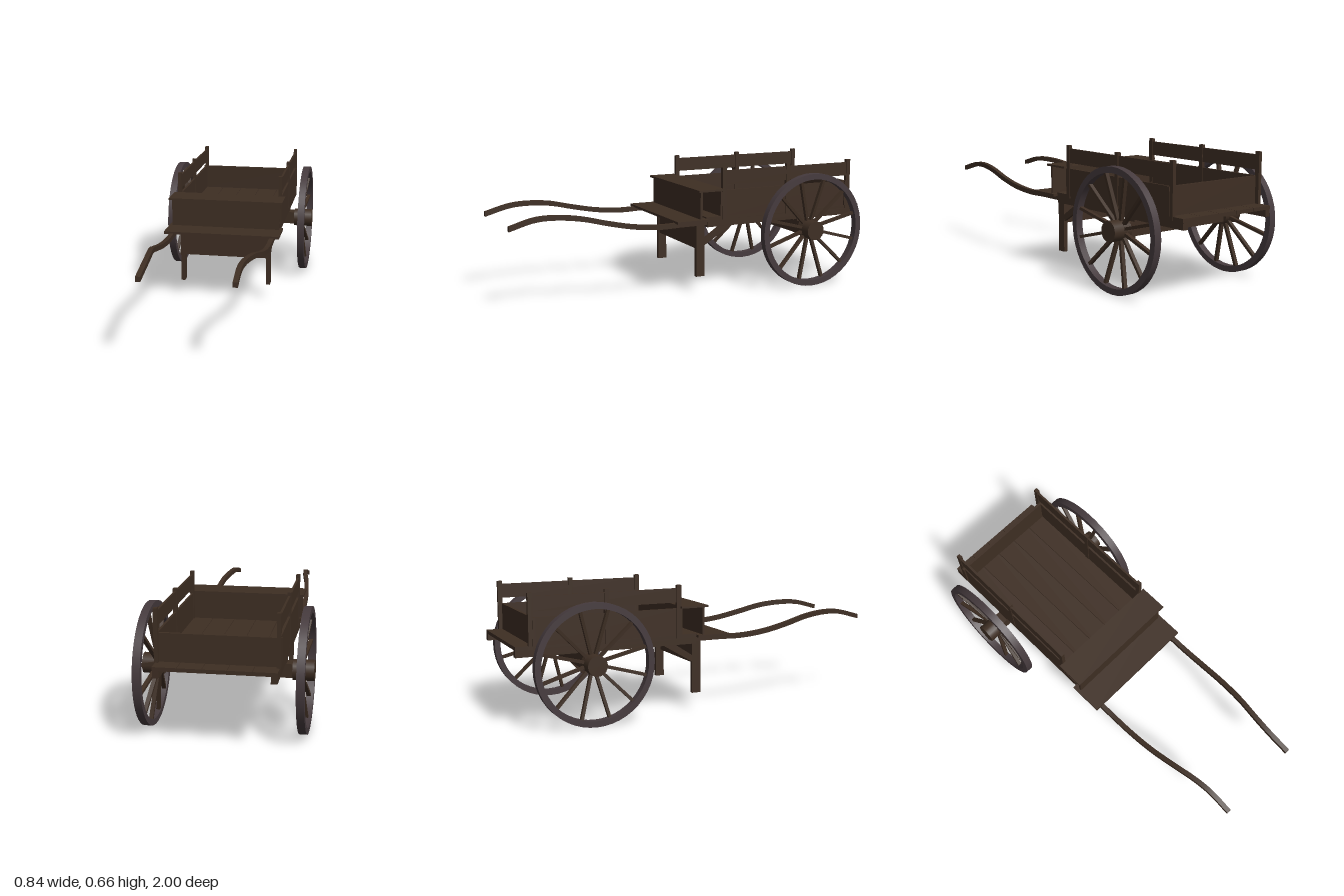
import * as THREE from 'three';

export function createModel() {
  const model = new THREE.Group();
  model.name = 'handcart';
  const wood = new THREE.MeshStandardMaterial({ color: 0x3e2e23 });
  wood.name = 'dark wood';
  const iron = new THREE.MeshStandardMaterial({ color: 0x453a3d });
  iron.name = 'rim iron';

  const add = (name, geo, mat = wood, parent = model) => {
    const mesh = new THREE.Mesh(geo, mat);
    mesh.name = name;
    parent.add(mesh);
    return mesh;
  };
  // Box given by its minimum and maximum on each axis
  const box = (name, x0, x1, y0, y1, z0, z1) => {
    const mesh = add(name, new THREE.BoxGeometry(x1 - x0, y1 - y0, z1 - z0));
    mesh.position.set((x0 + x1) / 2, (y0 + y1) / 2, (z0 + z1) / 2);
    return mesh;
  };
  // The same box on both sides
  const pair = (name, x0, x1, ...rest) => {
    box(name + 'Left', x0, x1, ...rest);
    box(name + 'Right', -x1, -x0, ...rest);
  };

  // Floor of lengthwise planks
  const planks = 5, floorHalf = 0.287, plankWidth = 2 * floorHalf / planks;
  for (let i = 0; i < planks; i++) {
    const x = -floorHalf + i * plankWidth;
    box('floorPlank', x + 0.001, x + plankWidth - 0.001, 0.39, 0.408, -1, -0.04);
  }
  pair('sill', 0.255, 0.285, 0.355, 0.39, -1, -0.045);

  // Sides: board, upper rail and three posts
  pair('sideBoard', 0.276, 0.287, 0.408, 0.545, -0.925, -0.13);
  pair('sideRail', 0.276, 0.287, 0.575, 0.648, -0.93, -0.135);
  for (const z of [-0.143, -0.533, -0.923])
    pair('sidePost', 0.272, 0.291, 0.39, 0.664, z - 0.012, z + 0.012);
  box('tailBoard', -0.295, 0.295, 0.408, 0.545, -0.915, -0.9);
  box('frontBoard', -0.287, 0.287, 0.408, 0.545, -0.135, -0.122);

  // Seat and footboard
  box('seatTop', -0.311, 0.311, 0.545, 0.555, -0.135, 0.015);
  box('seatFront', -0.295, 0.295, 0.4, 0.545, -0.012, 0);
  box('footboard', -0.311, 0.311, 0.388, 0.401, -0.042, 0.137);

  // Front legs, apron and slanting braces
  pair('frontLeg', 0.227, 0.248, 0.085, 0.39, -0.048, 0);
  box('apron', -0.228, 0.228, 0.235, 0.388, -0.02, -0.005);
  const braceShape = new THREE.Shape([
    [0.045, 0.25], [0.045, 0.285], [0.16, 0.36], [0.16, 0.39], [0.23, 0.39], [0.23, 0.36],
  ].map(p => new THREE.Vector2(...p)));
  for (const x of [0.229, -0.247]) {
    const brace = add('legBrace', new THREE.ExtrudeGeometry(braceShape, { depth: 0.018, bevelEnabled: false }));
    brace.rotation.y = Math.PI / 2;
    brace.position.x = x;
  }

  // Curved shafts: a long box bent along a curve
  const path = new THREE.CatmullRomCurve3([
    [0.27, 0.379, -0.05], [0.27, 0.379, 0.1], [0.27, 0.377, 0.22], [0.27, 0.39, 0.36],
    [0.265, 0.418, 0.5], [0.25, 0.451, 0.64], [0.23, 0.464, 0.77], [0.221, 0.459, 0.87], [0.222, 0.425, 1],
  ].map(p => new THREE.Vector3(...p)));
  for (const side of [1, -1]) {
    const geo = new THREE.BoxGeometry(0.024, 0.025, 1, 1, 1, 36);
    const pos = geo.attributes.position;
    for (let i = 0; i < pos.count; i++) {
      const p = path.getPoint(pos.getZ(i) + 0.5);
      pos.setXYZ(i, side * p.x + pos.getX(i), p.y + pos.getY(i), p.z);
    }
    geo.computeVertexNormals();
    add('shaft', geo);
  }

  // Axle
  const wheelY = 0.308, wheelZ = -0.632;
  box('axle', -0.33, 0.33, 0.275, 0.344, wheelZ - 0.033, wheelZ + 0.033);
  pair('axleBlock', 0.255, 0.285, 0.34, 0.358, wheelZ - 0.033, wheelZ + 0.033);

  // Dished spoked wheels; the wheel axis is local y, pointing outward
  const rimProfile = [[0.276, -0.019], [0.307, -0.019], [0.307, 0.019], [0.276, 0.019], [0.276, -0.019]]
    .map(p => new THREE.Vector2(...p));
  const crisp = [];
  for (let i = 0; i < 4; i++) crisp.push(new THREE.LatheGeometry([rimProfile[i], rimProfile[i + 1]], 48));
  const spokeStart = new THREE.Vector3(0.04, -0.03, 0), spokeEnd = new THREE.Vector3(0.282, -0.004, 0);
  const spokeLength = spokeStart.distanceTo(spokeEnd);
  for (const side of [1, -1]) {
    const wheel = new THREE.Group();
    wheel.name = side > 0 ? 'wheelLeft' : 'wheelRight';
    for (const geo of crisp) add('rim', geo, iron, wheel);
    const hub = add('hub', new THREE.CylinderGeometry(0.051, 0.051, 0.104, 20), wood, wheel);
    hub.position.y = -0.012;
    for (let i = 0; i < 12; i++) {
      const arm = new THREE.Group();
      arm.name = 'spokeArm';
      arm.rotation.y = (i + 0.5) * Math.PI / 6;
      const spoke = add('spoke', new THREE.BoxGeometry(spokeLength, 0.02, 0.015), wood, arm);
      spoke.position.copy(spokeStart).lerp(spokeEnd, 0.5);
      spoke.rotation.z = Math.atan2(spokeEnd.y - spokeStart.y, spokeEnd.x - spokeStart.x);
      wheel.add(arm);
    }
    wheel.rotation.z = -side * Math.PI / 2;
    wheel.position.set(side * 0.379, wheelY, wheelZ);
    model.add(wheel);
  }
  return model;
}
